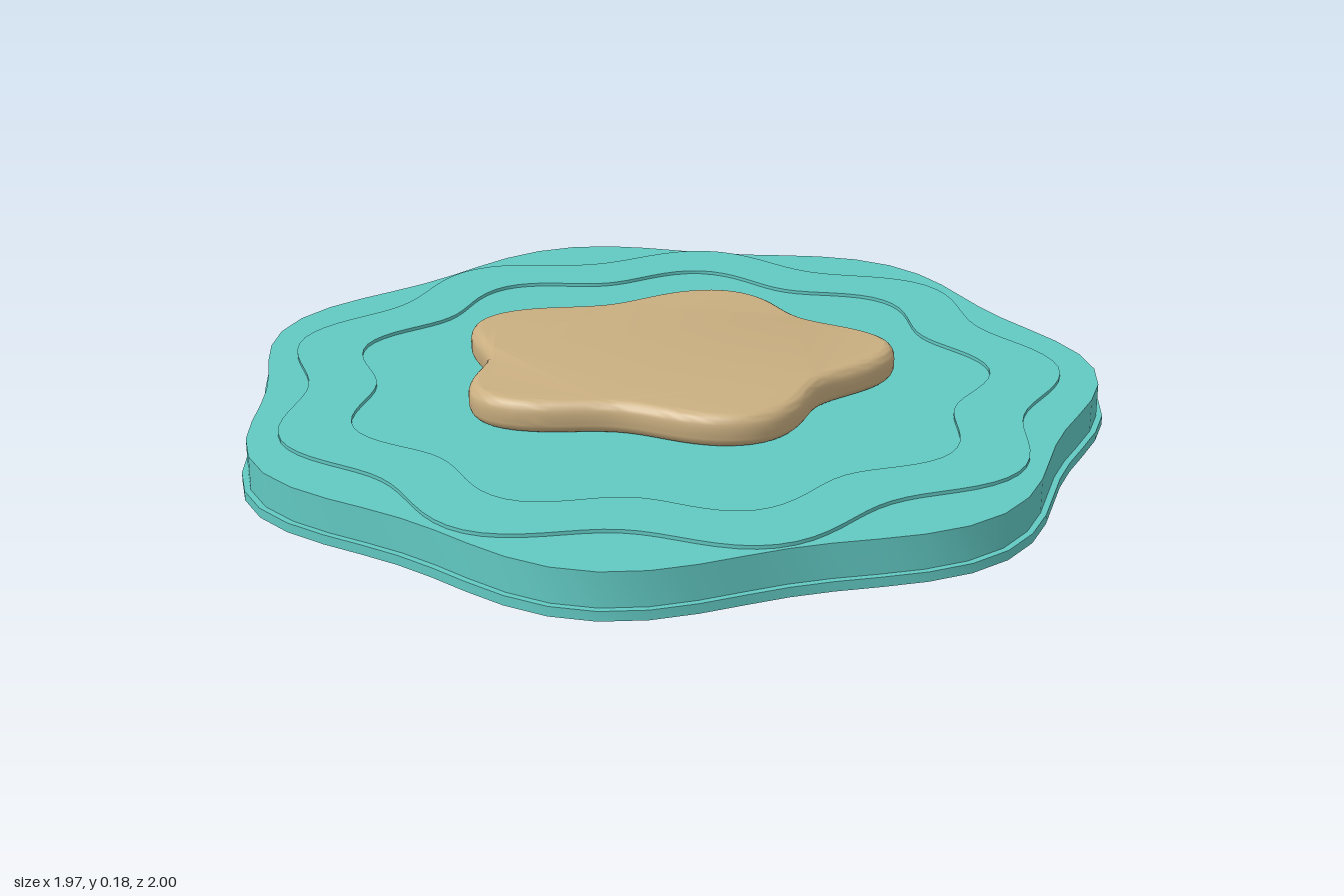
import * as THREE from 'three';
import { toCreasedNormals } from 'three/addons/utils/BufferGeometryUtils.js';

const CENTRE_X = -0.038;

// Closed wavy outline: radius swells `lobes` times around the circle
function wavyPoints(radius, wave, lobes, segments, depthScale = 1) {
  const points = [];
  for (let i = 0; i < segments; i++) {
    const a = (i / segments) * Math.PI * 2;
    const r = radius + wave * Math.cos(lobes * a);
    points.push(new THREE.Vector2(CENTRE_X + r * Math.cos(a), r * Math.sin(a) * depthScale));
  }
  return points;
}

// Horizontal slab between two heights, with optional hole and rounded rim
function slab(name, material, outline, bottom, top, { hole, bevel = 0, inset = 0 } = {}) {
  const shape = new THREE.Shape(outline);
  if (hole) shape.holes.push(new THREE.Path(hole));
  let geometry = new THREE.ExtrudeGeometry(shape, {
    depth: top - bottom - 2 * bevel,
    bevelEnabled: bevel > 0,
    bevelThickness: bevel,
    bevelSize: inset,
    bevelOffset: -inset,
    bevelSegments: 6,
  });
  geometry.translate(0, 0, bevel);
  geometry.rotateX(-Math.PI / 2);
  geometry = toCreasedNormals(geometry, 0.6);
  const mesh = new THREE.Mesh(geometry, material);
  mesh.name = name;
  mesh.position.y = bottom;
  return mesh;
}

export function createModel() {
  const water = new THREE.MeshStandardMaterial({ color: 0x62c9c3 });
  water.name = 'turquoise water';
  const sand = new THREE.MeshStandardMaterial({ color: 0xc9ae80 });
  sand.name = 'sand';

  const group = new THREE.Group();
  group.name = 'island';

  // Seven-lobed water base with a thin projecting foot
  group.add(slab('baseRim', water, wavyPoints(0.978, 0.04, 7, 64), 0, 0.022));
  group.add(slab('waterBase', water, wavyPoints(0.964, 0.04, 7, 64), 0.022, 0.1));

  // Raised nine-lobed ripple band
  group.add(slab('rippleBand', water, wavyPoints(0.8725, 0.045, 9, 144), 0.098, 0.108, {
    hole: wavyPoints(0.7125, 0.0405, 9, 144),
  }));

  // Five-lobed sandbank with a rounded edge
  group.add(slab('sandbank', sand, wavyPoints(0.4725, 0.055, 5, 120, 0.82), 0.1, 0.178, {
    bevel: 0.03, inset: 0.025,
  }));

  return group;
}
